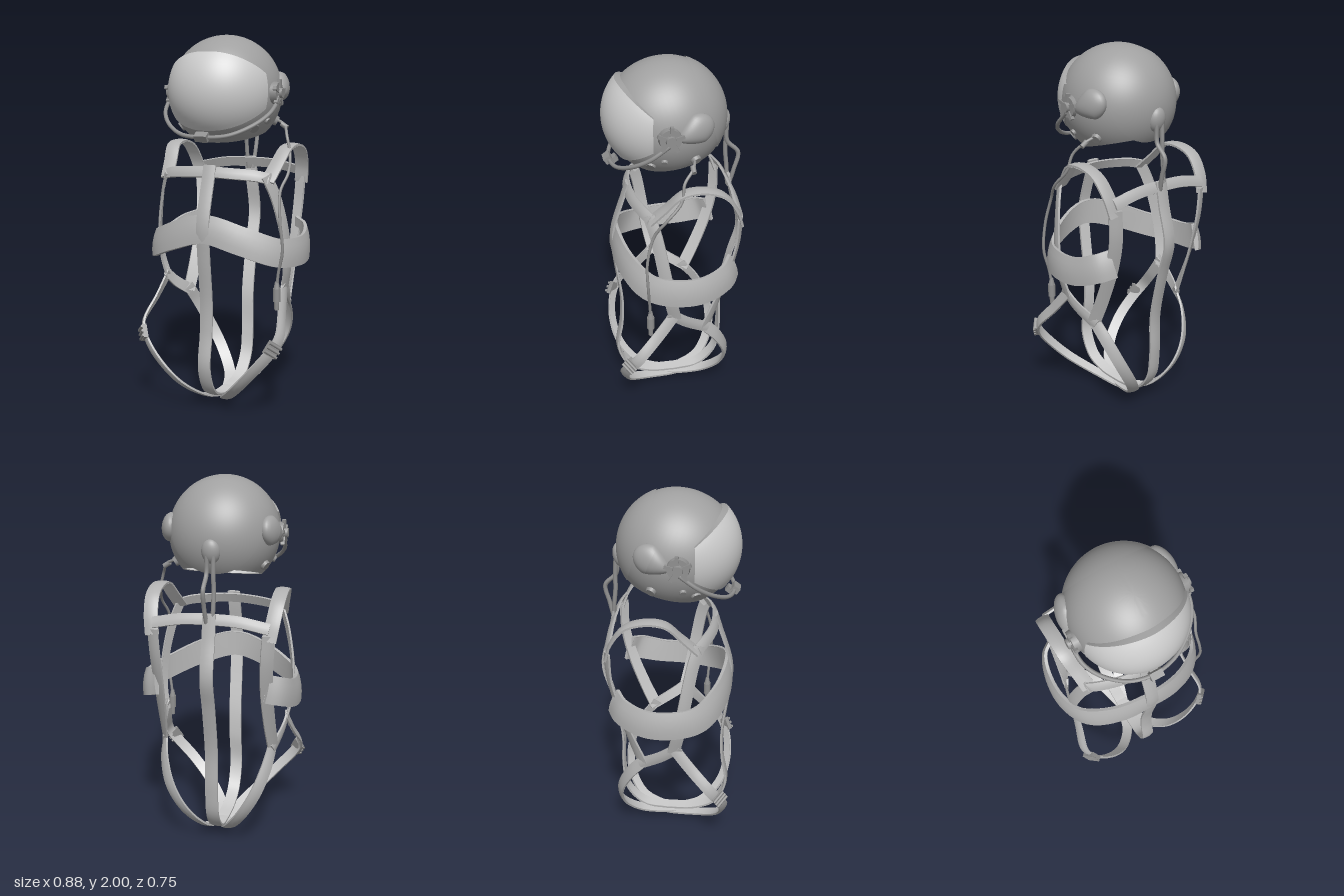
import * as THREE from 'three';
import { toCreasedNormals } from 'three/addons/utils/BufferGeometryUtils.js';

const paint = (color) => new THREE.MeshStandardMaterial({ color, side: THREE.DoubleSide });
const SHELL = paint(0xa0a0a0), WEBBING = paint(0xb2b2b2), FITTING = paint(0x909090);
const VISOR = paint(0xf0f0f0), LINING = paint(0xe6e6e6);
const V = (p) => new THREE.Vector3(...p);
const HEAD = new THREE.Vector3(0, 1.7, 0.035), R = 0.3;

function add(parent, name, geo, mat, pos = [0, 0, 0], rot = [0, 0, 0]) {
  const m = new THREE.Mesh(geo, mat);
  m.name = name;
  m.position.set(...pos);
  m.rotation.set(...rot);
  parent.add(m);
  return m;
}

// Surface through rows of points; closed rows get end caps
function loft(rows, closed) {
  const n = rows[0].length, pos = [], idx = [];
  rows.forEach((r) => r.forEach((p) => pos.push(p.x, p.y, p.z)));
  for (let i = 0; i < rows.length - 1; i++) {
    for (let j = 0; j < (closed ? n : n - 1); j++) {
      const a = i * n + j, b = i * n + ((j + 1) % n);
      idx.push(a, b, b + n, a, b + n, a + n);
    }
  }
  const e = (rows.length - 1) * n;
  for (let j = 1; closed && j < n - 1; j++) idx.push(0, j + 1, j, e, e + j, e + j + 1);
  const g = new THREE.BufferGeometry();
  g.setAttribute('position', new THREE.Float32BufferAttribute(pos, 3));
  g.setIndex(idx);
  g.computeVertexNormals();
  return toCreasedNormals(g, 0.7);
}

// Webbing that lies on the wearer's body: crowned outside, light lining inside
const SECTION = [[-1, -1], [1, -1], [1, 0.3], [0.5, 0.85], [0, 1], [-0.5, 0.85], [-1, 0.3]];
const LINING_SECTION = [[-0.98, -1.12], [0.98, -1.12]];
const bodyCentre = (p) => new THREE.Vector3(0, THREE.MathUtils.clamp(p.y, 0.35, 1.15), 0);
const backCentre = (p) => bodyCentre(p).setX(p.x * 0.5);
function strap(parent, name, pts, width, thick = 0.016, centre = bodyCentre) {
  const curve = new THREE.CatmullRomCurve3(pts.map(V)), body = [], lining = [];
  const steps = pts.length * 5;
  for (let i = 0; i <= steps; i++) {
    const p = curve.getPoint(i / steps), t = curve.getTangent(i / steps);
    const w = t.clone().cross(p.clone().sub(centre(p))).normalize();
    const n = w.clone().cross(t).normalize();
    const place = ([a, b]) => p.clone().addScaledVector(w, a * width / 2).addScaledVector(n, b * thick / 2);
    body.push(SECTION.map(place));
    lining.push(LINING_SECTION.map(place));
  }
  add(parent, name, loft(body, true), WEBBING);
  add(parent, name + 'Lining', loft(lining, false), LINING);
}

function cord(parent, name, pts, r) {
  const c = new THREE.CatmullRomCurve3(pts.map(V));
  add(parent, name, new THREE.TubeGeometry(c, pts.length * 8, r, 8), FITTING);
}

// Round fitting standing on the helmet surface
function stud(parent, name, dir, r, h) {
  const d = V(dir).normalize();
  const m = add(parent, name, new THREE.CylinderGeometry(r * 0.8, r, h, 20), FITTING);
  m.position.copy(HEAD).addScaledVector(d, R);
  m.quaternion.setFromUnitVectors(new THREE.Vector3(0, 1, 0), d);
}

// Lathed bowl tipped forward, with a fuller face side
function bowl(points) {
  const g = new THREE.LatheGeometry(points, 56).rotateX(0.255), p = g.attributes.position;
  for (let i = 0; i < p.count; i++) {
    const z = p.getZ(i);
    p.setXYZ(i, p.getX(i) * 0.985, p.getY(i), z * (z > 0 ? 1.08 : 1));
  }
  return toCreasedNormals(g, 0.6);
}

function makeHelmet() {
  const g = new THREE.Group();
  g.name = 'helmet';

  // Shell and lighter liner, open at the neck
  const cut = 2.35, N = 32, outer = [], inner = [];
  for (let i = 0; i <= N; i++) {
    const a = cut * (1 - i / N), b = cut - a;
    outer.push(new THREE.Vector2(R * Math.sin(a), R * Math.cos(a)));
    inner.push(new THREE.Vector2(0.28 * Math.sin(cut - b), 0.29 * Math.cos(cut - b) - 0.005));
  }
  add(g, 'helmetShell', bowl(outer), SHELL, HEAD.toArray());
  add(g, 'helmetLiner', bowl([outer[0], ...inner]), LINING, HEAD.toArray());

  // Rear cover plate
  const cap = add(g, 'rearCover', new THREE.SphereGeometry(R * 1.02, 48, 16, 0, Math.PI * 2, 0, 0.93), SHELL, HEAD.toArray(), [-Math.PI / 2 + 0.3, 0, 0]);
  cap.scale.x = 0.985;

  // Visor: curved shield whose height shrinks towards the pivots
  const visorPoint = (t, v, r = 0.3) => {
    const h = 0.2 * (1 - 0.55 * Math.abs(t) ** 2.4), y = h * v, q = Math.sqrt(r * r - y * y);
    return new THREE.Vector3(0.98 * q * Math.sin(t * 1.3), 1.71 + y, 0.076 + q * Math.cos(t * 1.3));
  };
  const rows = [], columns = Array.from({ length: 33 }, (_, i) => i / 16 - 1);
  for (const t of columns) rows.push(Array.from({ length: 21 }, (_, j) => visorPoint(t, j / 10 - 1)));
  add(g, 'visor', loft(rows, false), VISOR);
  for (const v of [-1, 1]) {
    add(g, 'visorRim', loft(columns.map((t) => [visorPoint(t, v), visorPoint(t, v, 0.277)]), false), SHELL);
  }

  // Locking bail around the chin with its latch
  const half = [[0.315, 1.67, 0.08], [0.3, 1.6, 0.17], [0.24, 1.54, 0.25], [0.13, 1.49, 0.32]];
  cord(g, 'visorBail', [...half, [0, 1.48, 0.345], ...half.map(([x, y, z]) => [-x, y, z]).reverse()], 0.011);
  add(g, 'latch', new THREE.BoxGeometry(0.07, 0.035, 0.04), FITTING, [0, 1.483, 0.35], [0.6, 0, 0]);
  add(g, 'latchTongue', new THREE.BoxGeometry(0.045, 0.03, 0.04), FITTING, [0, 1.475, 0.32], [0.6, 0, 0]);

  for (const s of [1, -1]) {
    // Teardrop ear pod
    const pod = new THREE.SphereGeometry(1, 28, 20), p = pod.attributes.position;
    for (let i = 0; i < p.count; i++) {
      const z = p.getZ(i);
      p.setY(i, p.getY(i) * (1 - 0.4 * Math.max(0, z + 0.2)));
    }
    pod.scale(0.05, 0.08, 0.1);
    pod.computeVertexNormals();
    add(g, 'earPod', pod, SHELL, [s * 0.268, 1.725, -0.055], [0.4, s * 0.2, 0]);

    // Visor pivot: disc, hub and small spokes
    const lying = [0, 0, -s * Math.PI / 2];
    add(g, 'pivotDisc', new THREE.CylinderGeometry(0.055, 0.06, 0.04, 24), FITTING, [s * 0.295, 1.7, 0.075], lying);
    add(g, 'pivotHub', new THREE.CylinderGeometry(0.025, 0.03, 0.04, 16), FITTING, [s * 0.315, 1.7, 0.075], lying);
    for (let k = 0; k < 5; k++) {
      const a = k * Math.PI * 0.4 + 0.4;
      add(g, 'pivotSpoke', new THREE.BoxGeometry(0.02, 0.018, 0.06), FITTING, [s * 0.312, 1.7 + 0.04 * Math.sin(a), 0.075 + 0.04 * Math.cos(a)], [-a, 0, 0]);
    }
    stud(g, 'frontStud', [s * 0.22, -0.19, 0.13], 0.03, 0.02);
    stud(g, 'smallStud', [s * 0.25, -0.14, 0.06], 0.02, 0.02);
    stud(g, 'rearStud', [s * 0.24, -0.15, -0.1], 0.03, 0.025);
    // Hoses at the nape
    cord(g, 'napeHose', [[s * 0.018, 1.63, -0.275], [s * 0.018, 1.53, -0.28], [s * 0.02, 1.46, s > 0 ? -0.34 : -0.28], [s * 0.02, 1.36, s > 0 ? -0.32 : -0.29], [s * 0.012, 1.26, -0.295]], 0.012);
  }
  const fitting = add(g, 'napeFitting', new THREE.SphereGeometry(1, 24, 16), SHELL, [0, 1.645, -0.255], [-0.15, 0, 0]);
  fitting.scale.set(0.05, 0.065, 0.038);
  return g;
}

function makeHarness() {
  const g = new THREE.Group();
  g.name = 'harness';
  for (const s of [1, -1]) {
    const side = (name, pts, w, t, c) => strap(g, name, pts.map(([x, y, z]) => [s * x, y, z]), w, t, c);
    const overShoulder = (p) => new THREE.Vector3(p.x, 1.2, -0.06);
    side('shoulderStrap', [[0.29, 1.25, 0.18], [0.31, 1.33, 0.1], [0.33, 1.41, 0.02], [0.335, 1.425, -0.08], [0.335, 1.39, -0.19], [0.325, 1.3, -0.26], [0.31, 1.2, -0.295]], 0.075, 0.016, overShoulder);
    side('frontSideStrap', [[0.29, 1.28, 0.185], [0.33, 1.17, 0.155], [0.37, 0.97, 0.12], [0.375, 0.8, 0.09], [0.35, 0.66, 0.06]], 0.066);
    side('backSideStrap', [[0.31, 1.23, -0.29], [0.3, 1.08, -0.285], [0.295, 0.92, -0.25], [0.3, 0.72, -0.18], [0.31, 0.55, -0.11]], 0.07, 0.016, backCentre);
    side('hipStrap', [[0.355, 0.7, 0.09], [0.345, 0.63, 0], [0.31, 0.55, -0.13]], 0.06);
    side('frontLegStrap', [[0.35, 0.69, 0.06], [0.375, 0.57, 0.16], [0.4, 0.45, 0.27], [0.36, 0.37, 0.315], [0.27, 0.26, 0.335], [0.16, 0.14, 0.3], [0.06, 0.05, 0.19], [0.02, 0.018, 0.04], [0, 0.012, -0.03]], 0.06);
    side('backLegStrap', [[0.31, 0.58, -0.1], [0.29, 0.47, -0.19], [0.24, 0.33, -0.25], [0.16, 0.19, -0.245], [0.07, 0.07, -0.16], [0.02, 0.025, -0.02], [0, 0.02, 0.05]], 0.064, 0.016, backCentre);
    // Leg buckle: frame with cross bars
    const buckle = new THREE.Group();
    buckle.name = 'legBuckle';
    add(buckle, 'bucklePlate', new THREE.BoxGeometry(0.07, 0.075, 0.025), FITTING);
    for (const y of [-0.025, 0, 0.025]) add(buckle, 'buckleBar', new THREE.CylinderGeometry(0.008, 0.008, 0.08, 8), FITTING, [0, y, 0.015], [0, 0, Math.PI / 2]);
    buckle.position.set(s * 0.375, 0.4, 0.31);
    buckle.rotation.set(0, s * 0.8, -s * 0.6);
    g.add(buckle);
  }

  // Cross straps, belt tilted towards the ribs, and centre straps
  const across = (half) => [...half.map(([x, y, z]) => [-x, y, z]), ...half.slice(0, -1).reverse()];
  const belowBelt = (p) => new THREE.Vector3(0, p.y - 0.06, 0);
  strap(g, 'chestStrap', across([[0.3, 1.265, 0.18], [0.24, 1.28, 0.21], [0.12, 1.29, 0.245], [0, 1.295, 0.255]]), 0.06);
  strap(g, 'upperBackStrap', across([[0.31, 1.265, -0.285], [0.15, 1.295, -0.29], [0, 1.3, -0.29]]), 0.06);
  strap(g, 'chestBelt', across([[0.3, 0.94, -0.265], [0.37, 0.915, -0.215], [0.415, 0.875, -0.09], [0.415, 0.87, 0.06], [0.355, 0.885, 0.2], [0.2, 0.95, 0.3], [0, 1.005, 0.335]]), 0.15, 0.026, belowBelt);
  strap(g, 'frontCentreStrap', [[0, 1.33, 0.255], [0, 1.25, 0.28], [0, 1.03, 0.345], [0, 0.86, 0.335], [0, 0.6, 0.305], [0, 0.44, 0.31], [0, 0.25, 0.335], [0, 0.11, 0.27], [0, 0.055, 0.15], [0, 0.045, 0]], 0.07);
  strap(g, 'backCentreStrap', [[0, 1.33, -0.295], [0, 1.2, -0.32], [0, 1.0, -0.365], [0, 0.82, -0.32], [0, 0.55, -0.265], [0, 0.33, -0.265], [0, 0.17, -0.24], [0, 0.065, -0.14], [0, 0.045, 0]], 0.07);
  return g;
}

// Communication lead hanging from the helmet's left side
function makeLead() {
  const g = new THREE.Group();
  g.name = 'lead';
  cord(g, 'leadCord', [[0.24, 1.56, -0.06], [0.3, 1.53, -0.04], [0.335, 1.47, 0.01], [0.36, 1.38, 0.03], [0.38, 1.29, 0.11], [0.36, 1.2, 0.17], [0.375, 1.05, 0.21], [0.39, 0.9, 0.21], [0.365, 0.78, 0.2], [0.355, 0.7, 0.195]], 0.008);
  add(g, 'leadPlug', new THREE.CylinderGeometry(0.014, 0.014, 0.04, 12), FITTING, [0.3, 1.525, -0.04], [0, 0, 1]);
  add(g, 'connectorTop', new THREE.CylinderGeometry(0.01, 0.018, 0.04, 12), FITTING, [0.355, 0.71, 0.195]);
  add(g, 'connectorBody', new THREE.CylinderGeometry(0.02, 0.02, 0.07, 12), FITTING, [0.355, 0.66, 0.195]);
  add(g, 'connectorTail', new THREE.CylinderGeometry(0.014, 0.012, 0.05, 12), FITTING, [0.355, 0.605, 0.195]);
  return g;
}

export function createModel() {
  const model = new THREE.Group();
  model.name = 'helmetAndHarness';
  model.add(makeHelmet(), makeHarness(), makeLead());
  return model;
}
